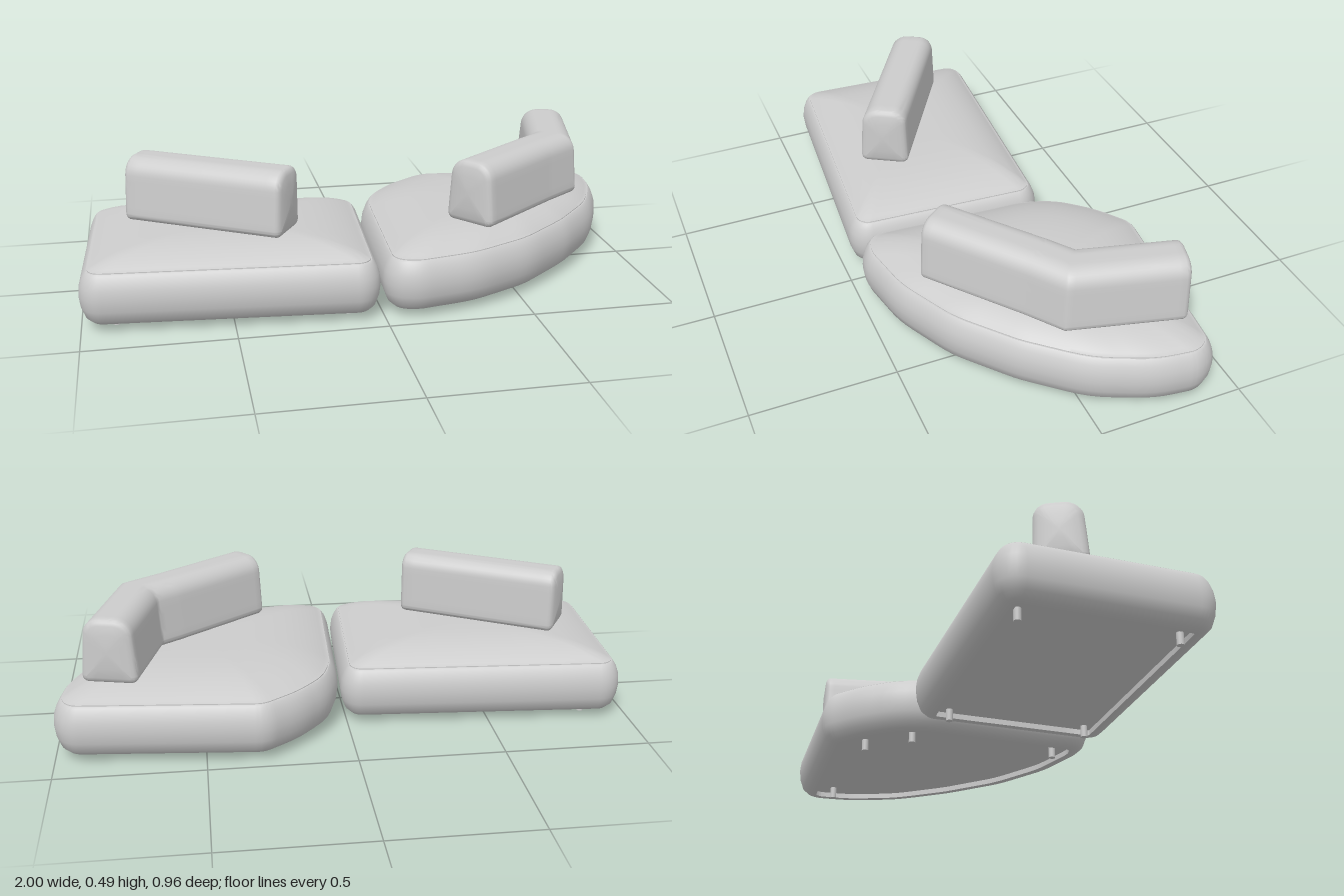
import * as THREE from 'three';
import { toCreasedNormals } from 'three/addons/utils/BufferGeometryUtils.js';

// Convex polygon of [x, y, radius] corners: returns offset => loop of 2D points.
function roundedLoop(corners) {
  const pts = corners.map(([x, y]) => new THREE.Vector2(x, y));
  const n = pts.length, samples = [];
  pts.forEach((p, i) => {
    const a = pts[(i + n - 1) % n], b = pts[(i + 1) % n];
    const d1 = p.clone().sub(a), d2 = b.clone().sub(p);
    const edge = Math.min(d1.length(), d2.length()) * 0.45;
    d1.normalize(); d2.normalize();
    const a1 = Math.atan2(-d1.x, d1.y);
    const turn = Math.atan2(d1.x * d2.y - d1.y * d2.x, d1.dot(d2));
    const r = Math.min(corners[i][2], edge / Math.tan(turn / 2));
    const inward = d2.clone().sub(d1).normalize();
    const c = p.clone().addScaledVector(inward, r / Math.cos(turn / 2));
    const steps = turn > 0.6 ? 8 : 4;
    for (let k = 0; k <= steps; k++) samples.push({ c, r, ang: a1 + turn * k / steps, last: k === steps });
  });
  return (off) => {
    const raw = samples.map(({ c, r, ang }) =>
      new THREE.Vector2(c.x + Math.cos(ang) * (r + off), c.y + Math.sin(ang) * (r + off)));
    const out = [];
    raw.forEach((p, i) => {
      out.push(p);
      if (samples[i].last) {
        const q = raw[(i + 1) % raw.length];
        for (let k = 1; k < 6; k++) out.push(p.clone().lerp(q, k / 6));
      }
    });
    return out;
  };
}

// Middle of a loop's bounding box.
function centre(ring) {
  return new THREE.Box3().setFromPoints(ring).getCenter(new THREE.Vector3());
}

// Skin a stack of equal loops and close both ends at their centres.
function loft(rings) {
  const n = rings[0].length, pos = [], idx = [];
  rings.forEach((ring) => ring.forEach((p) => pos.push(p.x, p.y, p.z)));
  for (let i = 0; i < rings.length - 1; i++) {
    for (let j = 0; j < n; j++) {
      const a = i * n + j, b = i * n + (j + 1) % n;
      idx.push(a, a + n, b, b, a + n, b + n);
    }
  }
  [0, rings.length - 1].forEach((r) => {
    const m = centre(rings[r]), v = pos.length / 3;
    pos.push(m.x, m.y, m.z);
    for (let j = 0; j < n; j++) {
      const a = r * n + j, b = r * n + (j + 1) % n;
      if (r === 0) idx.push(a, b, v); else idx.push(b, a, v);
    }
  });
  const g = new THREE.BufferGeometry();
  g.setAttribute('position', new THREE.Float32BufferAttribute(pos, 3));
  g.setIndex(idx);
  return toCreasedNormals(g, 0.7);
}

// Plump seat cushion: recessed base, bulging side, seam groove, crowned top.
const SIDE = [[-0.012, 0.042], [-0.012, 0.023], [0, 0.022], [0.022, 0.027], [0.042, 0.045], [0.055, 0.08],
  [0.06, 0.12], [0.056, 0.155], [0.046, 0.183], [0.036, 0.199], [0.031, 0.204], [0.027, 0.204], [0.027, 0.207]];
function seatGeometry(loop) {
  const rings = SIDE.map(([off, y]) => loop(off).map((p) => new THREE.Vector3(p.x, y, p.y)));
  const seam = rings[rings.length - 1], mid = centre(seam);
  for (const t of [0.03, 0.07, 0.12, 0.2, 0.3, 0.45, 0.6, 0.75, 0.9]) {
    const y = 0.207 + 0.058 * (1 - Math.pow(1 - t, 4));
    rings.push(seam.map((p) => new THREE.Vector3().lerpVectors(p, mid, t).setY(y)));
  }
  return loft(rings);
}

// Back cushion: sweep an upright section along a mitred floor path, with domed ends.
const CAP = [[0.02, 0], [0.017, 0.008], [0.01, 0.014], [0, 0.018]];
function backGeometry(section, path) {
  const loop = roundedLoop(section);
  const pts = path.map(([x, z]) => new THREE.Vector2(x, z));
  const dirs = pts.slice(1).map((p, i) => p.clone().sub(pts[i]).normalize());
  const stations = pts.map((p, i) => {
    const d1 = dirs[Math.max(i - 1, 0)], d2 = dirs[Math.min(i, dirs.length - 1)];
    const t = d1.clone().add(d2).normalize();
    return { p, u: new THREE.Vector2(-t.y, t.x).divideScalar(t.dot(d1)) };
  });
  const ringAt = (p, u, off) => loop(off).map((s) => new THREE.Vector3(p.x + u.x * s.x, s.y, p.y + u.y * s.x));
  const capRings = (st, dir, sign) => {
    const list = CAP.map(([off, s]) => ringAt(st.p.clone().addScaledVector(dir, sign * s), st.u, off));
    const rim = list[list.length - 1], mid = centre(rim);
    mid.x += dir.x * sign * 0.01;
    mid.z += dir.y * sign * 0.01;
    for (const t of [0.35, 0.7]) list.push(rim.map((p) => p.clone().lerp(mid, t)));
    return list;
  };
  const rings = capRings(stations[0], dirs[0], -1).reverse();
  for (let i = 0; i < dirs.length; i++) {
    const a = stations[i], b = stations[i + 1];
    for (const t of [0.06, 0.25, 0.5, 0.75, 0.94, 1]) {
      if (i === dirs.length - 1 && t === 1) break;
      rings.push(ringAt(a.p.clone().lerp(b.p, t), a.u.clone().lerp(b.u, t), 0.02));
    }
  }
  rings.push(...capRings(stations[stations.length - 1], dirs[dirs.length - 1], 1));
  return loft(rings);
}

export function createModel() {
  const model = new THREE.Group();
  model.name = 'modularSofa';
  const fabric = new THREE.MeshStandardMaterial({ color: 0xcccccc });
  fabric.name = 'greyFabric';
  const legGeometry = new THREE.CylinderGeometry(0.012, 0.012, 0.044, 16);

  const addModule = (name, outline, section, path, legs) => {
    const group = new THREE.Group();
    group.name = name;
    const add = (part, geometry) => {
      const mesh = new THREE.Mesh(geometry, fabric);
      mesh.name = part;
      group.add(mesh);
      return mesh;
    };
    add('seatCushion', seatGeometry(roundedLoop(outline)));
    add('backCushion', backGeometry(section, path));
    legs.forEach(([x, z]) => add('leg', legGeometry).position.set(x, 0.022, z));
    model.add(group);
  };

  // Four-sided module with a free-standing slanted back cushion
  addModule('straightModule',
    [[-0.915, -0.247, 0.02], [-0.038, -0.187, 0.02], [-0.072, 0.413, 0.02], [-0.942, 0.343, 0.02]],
    [[-0.068, 0.285, 0.005], [0.07, 0.285, 0.005], [0.056, 0.466, 0.045], [-0.063, 0.466, 0.03]],
    [[-0.783, -0.032], [-0.31, 0.249]],
    [[-0.85, -0.21], [-0.08, -0.135], [-0.885, 0.307], [-0.115, 0.365]]);

  // Curved corner module with a bent back cushion
  addModule('curvedModule',
    [[0.058, 0.405, 0.1], [0.085, -0.15, 0.4], [0.12, -0.25, 0.4], [0.21, -0.35, 0.4], [0.315, -0.425, 0.05],
      [0.922, -0.366, 0.1], [0.94, -0.335, 0.1], [0.925, -0.215, 0.4], [0.845, -0.035, 0.4],
      [0.692, 0.135, 0.4], [0.512, 0.285, 0.4], [0.305, 0.385, 0.4], [0.11, 0.422, 0.2]],
    [[-0.075, 0.285, 0.005], [0.075, 0.285, 0.005], [0.06, 0.466, 0.04], [-0.06, 0.466, 0.04]],
    [[0.33, 0.285], [0.62, 0.056], [0.715, -0.013], [0.8, -0.348]],
    [[0.115, 0.345], [0.16, -0.19], [0.3, -0.325], [0.86, -0.295]]);

  return model;
}
